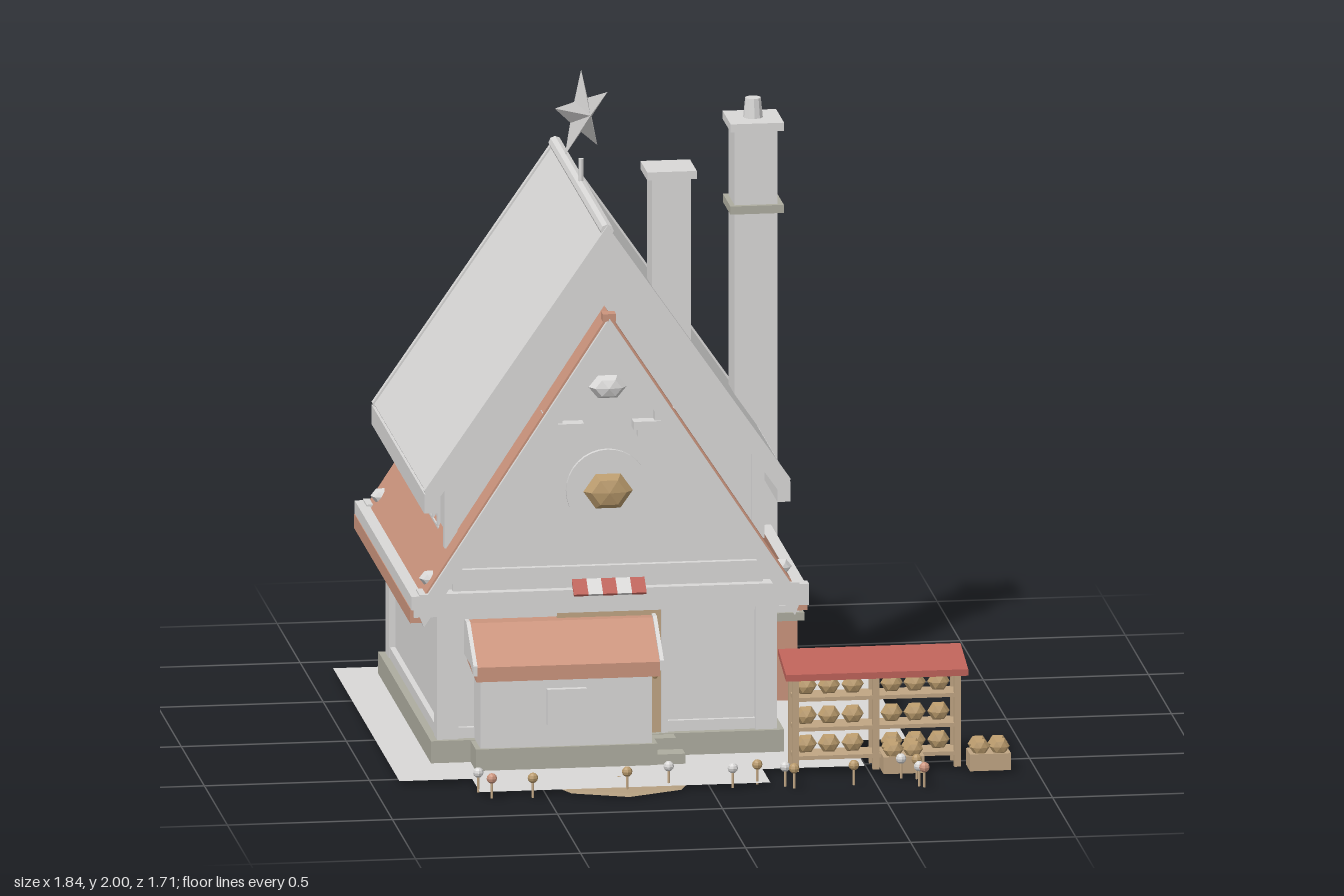
import * as THREE from 'three';

const mat = (name, color) => {
  const m = new THREE.MeshStandardMaterial({ color, flatShading: true, side: THREE.DoubleSide });
  m.name = name;
  return m;
};

export function createModel() {
  const M = {
    white: mat('plaster', 0xd9d8d7), clay: mat('clay', 0xcb947d), stone: mat('stone', 0xadac9f),
    red: mat('red', 0xbd6259), wood: mat('wood', 0xc0a583), bread: mat('bread', 0xb99a6c),
    rug: mat('rug', 0xb59f80),
  };
  const root = new THREE.Group();
  const CX = -0.26, CZ = -0.205; // house centre

  const add = (name, geo, m, x = 0, y = 0, z = 0, parent = root) => {
    const mesh = new THREE.Mesh(geo, m);
    mesh.name = name;
    mesh.position.set(x, y, z);
    parent.add(mesh);
    return mesh;
  };
  // box from minimum and maximum corners
  const box = (name, m, x0, x1, y0, y1, z0, z1, parent = root) =>
    add(name, new THREE.BoxGeometry(x1 - x0, y1 - y0, z1 - z0), m, (x0 + x1) / 2, (y0 + y1) / 2, (z0 + z1) / 2, parent);
  // outline in x,y extruded from z0 to z1
  const prism = (name, m, pts, z0, z1, x = CX) => add(name, new THREE.ExtrudeGeometry(
    new THREE.Shape(pts.map(p => new THREE.Vector2(...p))), { depth: z1 - z0, bevelEnabled: false }), m, x, 0, z0);
  const chevron = (name, m, half, apex, eave, t, z0, z1) => prism(name, m,
    [[-half, eave], [0, apex], [half, eave], [half - 0.02, eave - t * 0.6], [0, apex - t], [-half + 0.02, eave - t * 0.6]], z0, z1);
  // six-sided rounded lump
  const lump = (name, m, x, y, z, rx, ry, rz, parent = root) => {
    const g = new THREE.SphereGeometry(1, 6, 4);
    g.rotateX(Math.PI / 2);
    g.scale(rx, ry / 0.866, rz);
    return add(name, g, m, x, y, z, parent);
  };

  // ground sheet and round rug
  const outline = [[-0.92, -0.86], [0.49, -0.86], [0.49, -0.68], [0.66, -0.68], [0.66, 0.26], [0.49, 0.26],
    [0.49, 0.58], [0.18, 0.58], [0.18, 0.75], [-0.70, 0.75], [-0.70, 0.58], [-0.92, 0.58]];
  const ground = new THREE.ShapeGeometry(new THREE.Shape(outline.map(([x, z]) => new THREE.Vector2(x, -z))));
  ground.rotateX(-Math.PI / 2);
  add('ground', ground, M.white, 0, 0.014, 0);
  const rug = new THREE.SphereGeometry(0.235, 8, 6);
  rug.scale(1, 0.03, 1);
  add('rug', rug, M.rug, CX, 0.007, 0.61);

  // foundation, ground floor walls and timber frame
  box('foundation', M.stone, -0.795, 0.275, 0.012, 0.082, -0.775, 0.37);
  box('groundFloor', M.white, -0.755, 0.235, 0.08, 0.5, -0.735, 0.33);
  for (const s of [-1, 1]) {
    const px = CX + s * 0.4825;
    for (const pz of [-0.722, 0.322]) box('cornerPost', M.white, px - 0.0325, px + 0.0325, 0.08, 0.5, pz - 0.033, pz + 0.033);
    const wx = CX + s * 0.5;
    for (const y of [0.08, 0.45]) box('sideRail', M.white, wx - 0.012, wx + 0.012, y, y + 0.035, -0.72, 0.32);
    const ez = s > 0 ? 0.335 : -0.74;
    for (const y of [0.08, 0.45]) box('endRail', M.white, -0.74, 0.22, y, y + 0.035, ez - 0.01, ez + 0.01);
    // ledge under each gable
    const bz = CZ + s * 0.575;
    box('gableLedge', M.white, CX - 0.575, CX + 0.575, 0.475, 0.545, bz - 0.04, bz + 0.04);
    box('gableBeam', M.white, CX - 0.47, CX + 0.47, 0.545, 0.61, bz - 0.01, bz + 0.01);
    // lower eaves
    const lx = CX + s * 0.58;
    box('lowerFascia', M.clay, lx - 0.022, lx + 0.022, 0.455, 0.50, -0.815, 0.395);
    box('lowerGutter', M.white, lx - 0.02, lx + 0.015, 0.498, 0.54, -0.82, 0.41);
    for (const z of [-0.80, 0.39]) {
      box('gutterEnd', M.white, lx - 0.012, lx + 0.025, 0.475, 0.54, z - 0.02, z + 0.02);
      lump('eaveKnob', M.white, CX + s * 0.53, 0.575, CZ + Math.sign(z - CZ) * 0.525, 0.035, 0.022, 0.03);
    }
  }

  // lower roof with clay slopes, gable walls and rakes
  prism('lowerGable', M.white, [[-0.54, 0.5], [0.54, 0.5], [0, 1.34]], -0.765, 0.355);
  chevron('lowerRoof', M.clay, 0.585, 1.392, 0.50, 0.04, -0.805, 0.395);
  for (const z of [-0.82, 0.365]) chevron('lowerRake', M.white, 0.582, 1.38, 0.495, 0.085, z, z + 0.045);
  for (const z of [-0.82, 0.37]) box('rakeTip', M.clay, CX - 0.02, CX + 0.02, 1.37, 1.393, z, z + 0.04);

  // upper storey and roof
  prism('upperStorey', M.white, [[-0.465, 0.5], [0.465, 0.5], [0.465, 0.93], [0, 1.6], [-0.465, 0.93]], -0.70, 0.295);
  chevron('upperRoof', M.white, 0.55, 1.645, 0.852, 0.075, -0.76, 0.35);
  for (const z of [-0.775, 0.345]) chevron('upperRake', M.white, 0.555, 1.655, 0.855, 0.1, z, z + 0.022);
  const cap = new THREE.CylinderGeometry(0.02, 0.02, 1.13, 8);
  cap.rotateX(Math.PI / 2);
  add('ridgeCap', cap, M.white, CX, 1.638, CZ);
  for (const s of [-1, 1]) {
    const gx = CX + s * 0.535;
    box('upperGutter', M.white, gx - 0.02, gx + 0.02, 0.785, 0.845, -0.777, 0.367);
    const wx = CX + s * 0.465;
    for (const z of [-0.725, 0.27]) box('upperPost', M.white, wx - 0.02, wx + 0.02, 0.66, 0.93, z, z + 0.035);
    // upper windows
    for (const z of [-0.37, -0.04]) {
      for (const dz of [-0.108, 0, 0.108]) box('windowBar', M.white, wx - 0.01, wx + 0.022, 0.67, 0.90, z + dz - 0.01, z + dz + 0.01);
      box('windowRail', M.white, wx - 0.01, wx + 0.02, 0.77, 0.785, z - 0.108, z + 0.108);
      box('windowSill', M.white, wx - 0.01, wx + 0.04, 0.655, 0.675, z - 0.13, z + 0.13);
    }
  }

  // gable ornaments
  const disc = new THREE.CylinderGeometry(0.125, 0.125, 0.02, 32);
  disc.rotateX(Math.PI / 2);
  add('gableDisc', disc, M.white, CX, 0.84, 0.36);
  lump('gableLoaf', M.bread, CX, 0.84, 0.38, 0.075, 0.053, 0.035);
  lump('gableKnot', M.white, CX, 1.16, 0.37, 0.058, 0.035, 0.035);
  for (const s of [-1, 1]) {
    const x = CX + s * 0.14;
    box('bracketShelf', M.white, x - 0.065, x + 0.065, 1.03, 1.055, 0.35, 0.40);
    box('bracketFoot', M.white, x - 0.05, x + 0.05, 1.005, 1.03, 0.35, 0.385);
    box('bracketTop', M.white, x + s * 0.03 - 0.03, x + s * 0.03 + 0.03, 1.055, 1.09, 0.35, 0.39);
  }

  // striped awning
  for (let i = 0; i < 5; i++) {
    const stripe = box('awningStripe', i % 2 ? M.white : M.red, CX - 0.11 + i * 0.044, CX - 0.066 + i * 0.044, 0.548, 0.556, 0.365, 0.435);
    stripe.rotation.x = 0.62;
  }

  // star on a pole
  const star = new THREE.Group();
  star.name = 'star';
  star.position.set(CX, 1.862, CZ);
  star.rotation.y = Math.PI / 4;
  root.add(star);
  const pos = [];
  const tip = i => {
    const r = i % 2 ? 0.055 : 0.138, a = Math.PI / 2 + i * Math.PI / 5;
    return [r * Math.cos(a), r * Math.sin(a), 0];
  };
  for (let i = 0; i < 10; i++) {
    pos.push(...tip(i), ...tip(i + 1), 0, 0, 0.035);
    pos.push(...tip(i + 1), ...tip(i), 0, 0, -0.035);
  }
  const starGeo = new THREE.BufferGeometry();
  starGeo.setAttribute('position', new THREE.Float32BufferAttribute(pos, 3));
  starGeo.computeVertexNormals();
  add('starBody', starGeo, M.white, 0, 0, 0, star);
  add('starPole', new THREE.CylinderGeometry(0.008, 0.008, 0.09, 6), M.white, CX, 1.68, CZ);

  // roof chimney
  box('roofChimney', M.white, -0.085, 0.032, 1.19, 1.73, -0.028, 0.085);
  box('roofChimneyCap', M.white, -0.102, 0.048, 1.725, 1.75, -0.048, 0.1);

  // tall side chimney with oven base
  box('chimneyOven', M.clay, 0.25, 0.405, 0.012, 0.26, -0.55, -0.27);
  box('ovenLedge', M.stone, 0.25, 0.425, 0.26, 0.285, -0.56, -0.265);
  box('ovenLedgeTop', M.white, 0.25, 0.41, 0.285, 0.305, -0.55, -0.275);
  box('ovenShoulder', M.clay, 0.25, 0.37, 0.305, 0.4, -0.52, -0.3);
  box('chimneyStack', M.white, 0.225, 0.355, 0.4, 1.765, -0.48, -0.345);
  box('chimneyBand', M.stone, 0.21, 0.372, 1.505, 1.53, -0.495, -0.33);
  box('chimneyCap', M.white, 0.21, 0.372, 1.76, 1.785, -0.5, -0.325);
  add('chimneyPot', new THREE.CylinderGeometry(0.024, 0.03, 0.06, 10), M.white, 0.29, 1.815, -0.413);
  lump('ovenLoaf', M.bread, 0.405, 0.115, -0.41, 0.02, 0.025, 0.04);

  // ground floor side window
  box('sideWindow', M.white, 0.22, 0.262, 0.25, 0.4, -0.13, 0.08);
  box('sideWindowSill', M.white, 0.22, 0.29, 0.232, 0.25, -0.16, 0.11);
  box('sideWindowApron', M.white, 0.22, 0.275, 0.2, 0.215, -0.16, 0.11);
  for (const z of [-0.13, -0.025, 0.08]) box('sideWindowBar', M.white, 0.22, 0.272, 0.25, 0.4, z - 0.01, z + 0.01);

  // door and steps
  box('door', M.wood, -0.41, -0.095, 0.08, 0.472, 0.32, 0.35);
  box('doorFrame', M.white, -0.095, -0.075, 0.08, 0.472, 0.32, 0.36);
  add('doorKnob', new THREE.SphereGeometry(0.01, 8, 6), M.bread, -0.115, 0.26, 0.358);
  box('doorStep', M.stone, -0.2, -0.06, 0.012, 0.08, 0.36, 0.42);
  box('lowStep', M.stone, -0.2, -0.04, 0.012, 0.045, 0.42, 0.48);

  // shop bay with clay canopy
  box('bayBase', M.stone, -0.675, -0.125, 0.012, 0.08, 0.33, 0.485);
  box('bay', M.white, -0.66, -0.14, 0.08, 0.34, 0.33, 0.475);
  box('bayWindow', M.white, -0.46, -0.34, 0.15, 0.26, 0.47, 0.495);
  const slope = (name, m, pts, x0, x1) => {
    const mesh = prism(name, m, pts.map(([z, y]) => [-z, y]), 0, x1 - x0, x0);
    mesh.rotation.y = Math.PI / 2;
    return mesh;
  };
  slope('canopy', M.clay, [[0.33, 0.445], [0.38, 0.445], [0.535, 0.345], [0.535, 0.3], [0.51, 0.3], [0.33, 0.32]], -0.68, -0.125);
  for (const x of [-0.69, -0.125]) slope('canopyRim', M.white, [[0.33, 0.45], [0.385, 0.45], [0.54, 0.35], [0.54, 0.32], [0.47, 0.34], [0.33, 0.34]], x, x + 0.012);

  // bread stall
  slope('stallRoof', M.red, [[0.505, 0.365], [0.675, 0.325], [0.675, 0.305], [0.505, 0.345]], 0.238, 0.79);
  for (const x of [0.275, 0.518, 0.765])
    for (const z of [0.535, 0.615]) box('stallPost', M.wood, x - 0.01, x + 0.01, 0.012, 0.335, z - 0.008, z + 0.008);
  for (const y of [0.06, 0.148, 0.24]) {
    box('stallShelf', M.wood, 0.27, 0.77, y - 0.012, y, 0.53, 0.622);
    for (const x of [0.31, 0.38, 0.452, 0.57, 0.64, 0.712]) lump('loaf', M.bread, x, y + 0.03, 0.585, 0.034, 0.027, 0.03);
  }

  // bread crates
  for (const x of [0.595, 0.857]) {
    box('crate', M.wood, x - 0.062, x + 0.062, 0.01, 0.062, 0.592, 0.678);
    for (const dx of [-0.03, 0.03]) for (const z of [0.615, 0.657])
      lump('crateLoaf', M.bread, x + dx, 0.08, z, 0.031, 0.024, 0.022);
  }

  // lollipop garden
  const pops = [[-0.70, 0.715, 'white'], [-0.67, 0.793, 'clay'], [-0.547, 0.803, 'bread'], [-0.256, 0.764, 'bread'],
    [-0.123, 0.714, 'white'], [0.064, 0.764, 'white'], [0.143, 0.729, 'bread'], [0.222, 0.768, 'white'], [0.246, 0.793, 'bread'],
    [0.429, 0.778, 'bread'], [0.581, 0.714, 'white'], [0.626, 0.729, 'bread'], [0.621, 0.818, 'white'], [0.635, 0.833, 'clay']];
  for (const [x, z, m] of pops) {
    add('popStem', new THREE.CylinderGeometry(0.004, 0.004, 0.055, 6), M.wood, x, 0.032, z);
    add('popHead', new THREE.SphereGeometry(0.016, 8, 6), M[m], x, 0.066, z);
  }
  return root;
}
